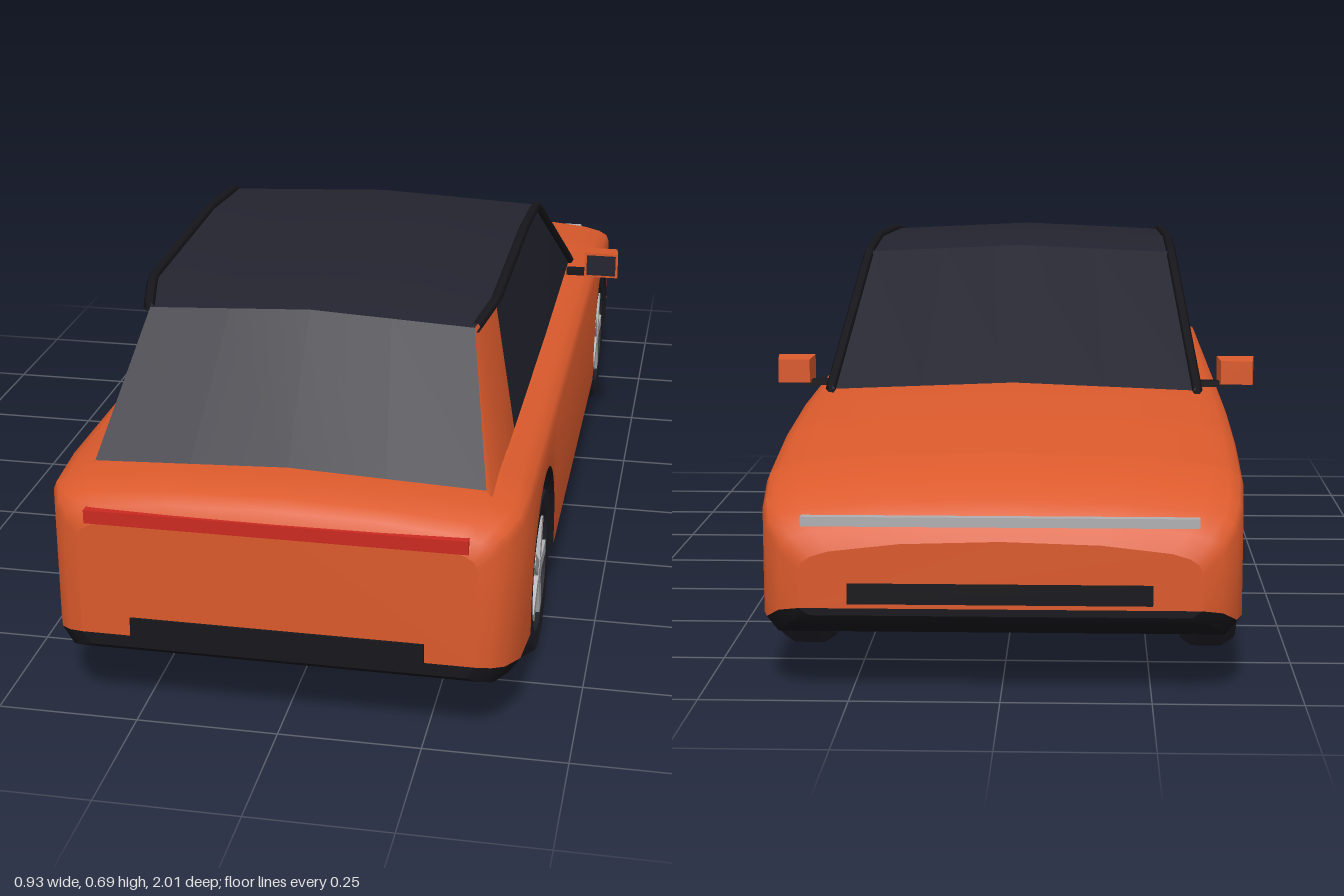
import * as THREE from 'three';
import { toCreasedNormals } from 'three/addons/utils/BufferGeometryUtils.js';

const mat = (name, color, side = THREE.FrontSide) => {
  const m = new THREE.MeshStandardMaterial({ color, side });
  m.name = name;
  return m;
};

function surface(points, index, crease = 0.6) {
  const g = new THREE.BufferGeometry();
  g.setAttribute('position', new THREE.Float32BufferAttribute(points.flat(), 3));
  g.setIndex(index);
  return toCreasedNormals(g.toNonIndexed(), crease);
}

// skin between equal rows of points
function skin(rows, crease) {
  const n = rows[0].length, index = [];
  for (let i = 0; i < rows.length - 1; i++)
    for (let j = 0; j < n - 1; j++) {
      const a = i * n + j, c = a + n;
      index.push(a, a + 1, c, a + 1, c + 1, c);
    }
  return surface(rows.flat(), index, crease);
}

// flat fan closing a row of points
function cap(row, flip) {
  const index = [];
  for (let k = 1; k < row.length - 1; k++) index.push(0, ...(flip ? [k + 1, k] : [k, k + 1]));
  return surface(row, index);
}

// body stations: z, half width, top height, bottom height, sill height
const STATIONS = [
  [-1, 0.33, 0.275, 0.15, 0.012], [-0.985, 0.365, 0.305, 0.135, 0.02], [-0.95, 0.39, 0.335, 0.11, 0.025],
  [-0.9, 0.402, 0.36, 0.105, 0.025], [-0.81, 0.408, 0.388, 0.102, 0.025], [-0.6, 0.41, 0.417, 0.1, 0.025],
  [-0.35, 0.41, 0.435, 0.1, 0.025], [0, 0.41, 0.442, 0.1, 0.025], [0.6, 0.41, 0.45, 0.1, 0.025],
  [0.81, 0.41, 0.453, 0.112, 0.025], [0.92, 0.405, 0.448, 0.12, 0.03], [0.97, 0.385, 0.437, 0.128, 0.032],
  [0.99, 0.365, 0.422, 0.138, 0.028], [1, 0.34, 0.4, 0.148, 0.022],
];
const AXLE = 0.62, ARCH = 0.19, HUB = 0.165;

function stationAt(z) {
  let k = 0;
  while (k < STATIONS.length - 2 && STATIONS[k + 1][0] < z) k++;
  const a = STATIONS[k], b = STATIONS[k + 1], t = (z - a[0]) / (b[0] - a[0]);
  return a.map((v, i) => v + (b[i] - v) * t);
}

function bodyStations() {
  const list = STATIONS.filter(s => Math.abs(Math.abs(s[0]) - AXLE) > ARCH + 0.001);
  for (const c of [-AXLE, AXLE]) {
    list.push(stationAt(c - ARCH));
    for (let i = 0; i <= 18; i++) {
      const a = Math.PI * (1 - i / 18), s = stationAt(c + ARCH * Math.cos(a));
      s[3] = HUB + ARCH * Math.sin(a);
      s[4] = 0;
      list.push(s);
    }
    list.push(stationAt(c + ARCH));
  }
  return list.sort((p, q) => p[0] - q[0]); // stable, keeps arch walls in order
}

const PAINT_PROFILE = [[1, 0.052], [0.985, 0.037], [0.94, 0.027], [0.85, 0.018], [0.5, 0.005]];

function paintRow([z, w, top, bottom, sill]) {
  const low = bottom + sill;
  const half = [[w, low], ...PAINT_PROFILE.map(([f, d]) => [f * w, Math.max(top - d, low)])];
  return [...half.map(([x, y]) => [x, y, z]), [0, top, z], ...half.reverse().map(([x, y]) => [-x, y, z])];
}

function underRow([z, w, , bottom, sill]) {
  const x = w * 0.95;
  return [[-w, bottom + sill, z], [-x, bottom, z], [x, bottom, z], [w, bottom + sill, z]];
}

// roof line: z, half width, edge height
const ROOF = [[-0.37, 0.35, 0.432], [0, 0.312, 0.668], [0.2, 0.312, 0.685], [0.6, 0.31, 0.676],
  [0.7, 0.288, 0.657], [0.89, 0.338, 0.442]];

export function createModel() {
  const car = new THREE.Group();
  car.name = 'car';
  const paint = mat('orange paint', 0xdb5a2c, THREE.DoubleSide);
  const glass = mat('dark glass', 0x242430, THREE.DoubleSide);
  const trim = mat('black trim', 0x17171c, THREE.DoubleSide);
  const rubber = mat('tyre', 0x20202a);
  const metal = mat('grey metal', 0xb0b0b2);
  const red = mat('red light', 0xcc2a22);

  const add = (name, geometry, material, parent = car) => {
    const m = new THREE.Mesh(geometry, material);
    m.name = name;
    parent.add(m);
    return m;
  };
  const box = (name, size, pos, material, parent) => {
    const m = add(name, new THREE.BoxGeometry(...size), material, parent);
    m.position.set(...pos);
    return m;
  };

  // lower body with wheel arches
  const stations = bodyStations();
  const paintRows = stations.map(paintRow), underRows = stations.map(underRow);
  add('bodyShell', skin(paintRows, 0.7), paint);
  add('underbody', skin(underRows), trim);
  for (const end of [0, stations.length - 1]) {
    const side = end ? 'rear' : 'nose';
    add(side + 'Panel', cap(paintRows[end], !end), paint);
    add(side + 'Skirt', cap(underRows[end], !end), trim);
  }

  // windscreen, roof and rear glass as one dark sheet
  add('roofGlass', skin(ROOF.map(([z, w, y]) =>
    [1, 0.5, 0, -0.5, -1].map(f => [f * w, y + 0.014 * (1 - Math.abs(f)), z])), 0.35), glass);

  // cabin sides, roof rails, mirrors
  for (const s of [1, -1]) {
    const name = s > 0 ? 'left' : 'right';
    const sideRows = ROOF.map(([z, w, y]) => {
      const row = [[s * 0.35, 0.425, z], [s * w, y, z]];
      return s > 0 ? row : row.reverse();
    });
    add(name + 'Window', skin(sideRows.slice(0, 4)), glass);
    add(name + 'RearPillar', skin(sideRows.slice(3)), paint);

    const path = new THREE.CurvePath();
    const pts = ROOF.slice(0, 5).map(([z, w, y]) => new THREE.Vector3(s * (w + 0.002), y, z));
    for (let i = 0; i < pts.length - 1; i++) path.add(new THREE.LineCurve3(pts[i], pts[i + 1]));
    add(name + 'RoofRail', new THREE.TubeGeometry(path, 40, 0.01, 6), trim);

    const mirror = new THREE.Group();
    mirror.name = name + 'Mirror';
    car.add(mirror);
    const housing = new THREE.BoxGeometry(0.072, 0.054, 0.05);
    const p = housing.attributes.position;
    for (let i = 0; i < p.count; i++)
      if (p.getZ(i) < 0) p.setXY(i, p.getX(i) * 0.85, p.getY(i) * 0.85);
    housing.computeVertexNormals();
    add('mirrorHousing', housing, paint, mirror).position.set(s * 0.431, 0.458, -0.285);
    box('mirrorGlass', [0.062, 0.044, 0.004], [s * 0.431, 0.458, -0.259], glass, mirror);
    box('mirrorArm', [0.06, 0.011, 0.025], [s * 0.385, 0.434, -0.285], trim, mirror);
  }

  // centre pillar on the right side only
  add('centrePillar', skin([0.19, 0.23].map(z =>
    [[-0.316, 0.675, z], [-0.356, 0.425, z]])), paint);

  // wheels: chamfered tyre, recessed rim, five spokes
  const tyreProfile = [[0, -0.045], [0.11, -0.045], [0.145, -0.048], [0.16, -0.026], [0.16, 0.026],
    [0.145, 0.048], [0.112, 0.046], [0.106, 0.034], [0, 0.034]].map(([r, y]) => new THREE.Vector2(r, y));
  const tyre = toCreasedNormals(new THREE.LatheGeometry(tyreProfile, 32).toNonIndexed(), 0.5);
  for (const s of [1, -1])
    for (const z of [-AXLE, AXLE]) {
      const wheel = new THREE.Group();
      wheel.name = (z < 0 ? 'front' : 'rear') + (s > 0 ? 'Left' : 'Right') + 'Wheel';
      wheel.position.set(s * 0.358, HUB, z);
      car.add(wheel);
      add('tyre', tyre, rubber, wheel).rotation.z = -s * Math.PI / 2;
      const hub = add('hub', new THREE.CylinderGeometry(0.024, 0.024, 0.014, 16), metal, wheel);
      hub.rotation.z = Math.PI / 2;
      hub.position.x = s * 0.04;
      for (let i = 0; i < 5; i++) {
        const a = i * Math.PI * 2 / 5;
        const spoke = box('spoke', [0.012, 0.026, 0.095],
          [s * 0.04, 0.05 * Math.sin(a), -0.05 * Math.cos(a)], metal, wheel);
        spoke.rotation.x = a;
      }
    }

  // lights and bumper grilles
  box('tailLight', [0.65, 0.024, 0.016], [0, 0.39, 0.996], red);
  box('rearGrille', [0.506, 0.037, 0.008], [0, 0.187, 1], trim);
  box('frontGrille', [0.5, 0.034, 0.008], [0, 0.187, -1], trim);
  box('headLightBar', [0.65, 0.016, 0.016], [0, 0.307, -0.994], metal);
  return car;
}
